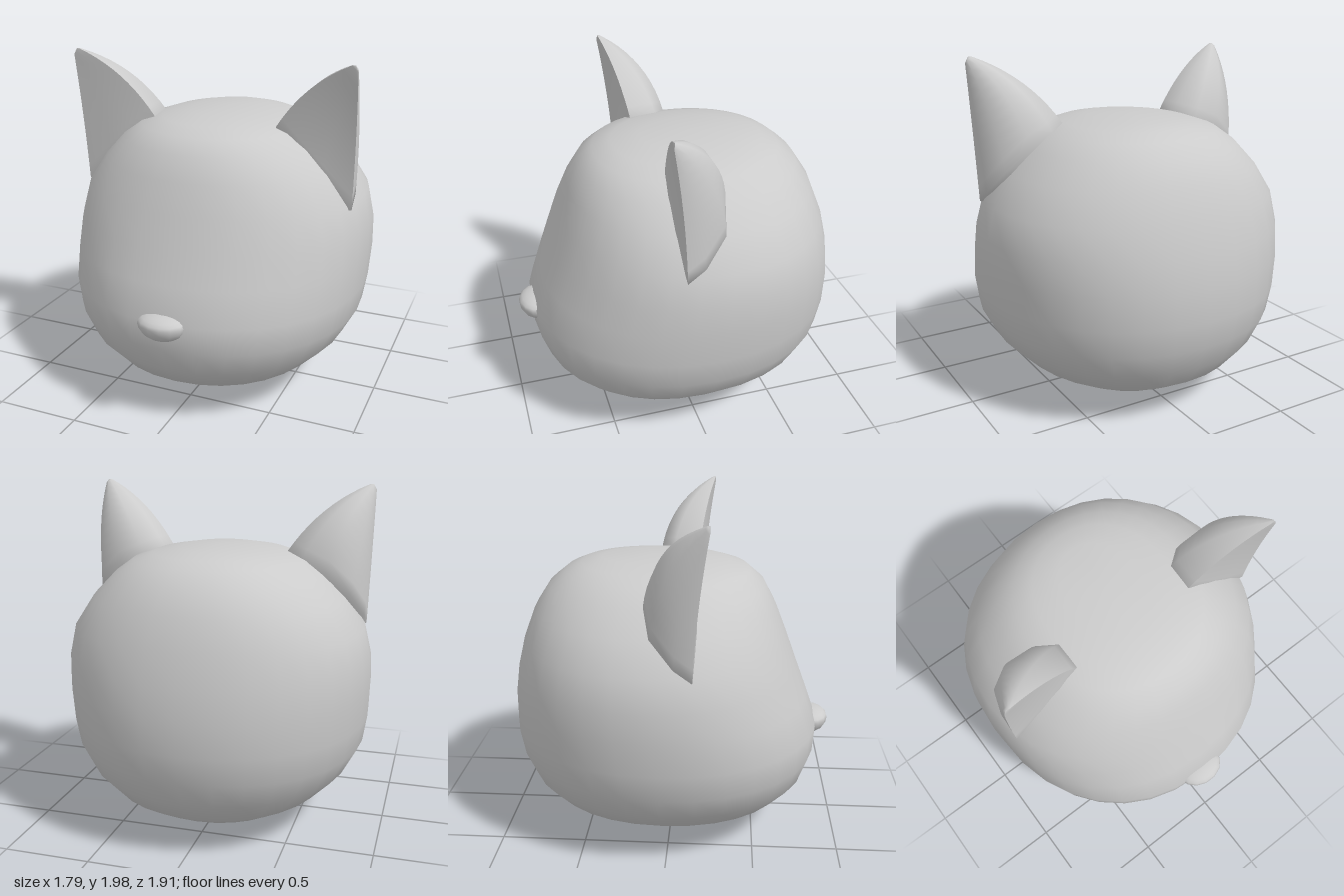
import * as THREE from 'three';
import { mergeVertices } from 'three/addons/utils/BufferGeometryUtils.js';

const V = (x, y, z) => new THREE.Vector3(x, y, z);
const material = new THREE.MeshStandardMaterial({ color: 0xcccccc, roughness: 0.8 });
const earMaterial = new THREE.MeshStandardMaterial({ color: 0xcccccc, roughness: 0.8, side: THREE.DoubleSide });

// Smooth skin over rings of points, listed from bottom to top
function loft(rings) {
  const n = rings[0].length;
  const index = [];
  for (let i = 0; i < rings.length - 1; i++) {
    for (let j = 0; j < n - 1; j++) {
      const a = i * n + j, b = a + 1, c = a + n, d = c + 1;
      index.push(a, b, c, b, d, c);
    }
  }
  let geo = new THREE.BufferGeometry().setFromPoints(rings.flat());
  geo.setIndex(index);
  geo = mergeVertices(geo, 1e-4);
  geo.computeVertexNormals();
  return geo;
}

function part(name, geo, mat = material) {
  const mesh = new THREE.Mesh(geo, mat);
  mesh.name = name;
  return mesh;
}

// Head levels: height, half width, front z, back z
const LEVELS = [
  [0.008, 0, -0.02, -0.02], [0.025, 0.2, 0.2, -0.21], [0.07, 0.37, 0.38, -0.44],
  [0.13, 0.5, 0.53, -0.61], [0.22, 0.65, 0.71, -0.76], [0.35, 0.78, 0.82, -0.865],
  [0.5, 0.86, 0.87, -0.925], [0.66, 0.885, 0.88, -0.953], [0.85, 0.895, 0.81, -0.95],
  [1.02, 0.89, 0.745, -0.925], [1.2, 0.85, 0.678, -0.88], [1.37, 0.735, 0.61, -0.815],
  [1.5, 0.61, 0.54, -0.73], [1.58, 0.5, 0.45, -0.63], [1.62, 0.38, 0.34, -0.54],
  [1.648, 0.22, 0.18, -0.42], [1.66, 0, -0.12, -0.12],
];

function headGeometry() {
  const segments = 32;
  const power = 2 / 2.15; // slightly squarish ovals
  const bend = (v) => Math.sign(v) * Math.abs(v) ** power;
  return loft(LEVELS.map(([y, w, front, back]) => {
    const mid = (front + back) / 2, depth = (front - back) / 2;
    return Array.from({ length: segments + 1 }, (_, j) => {
      const a = ((j % segments) / segments) * Math.PI * 2;
      return V(w * bend(Math.cos(a)), y, mid - depth * bend(Math.sin(a)));
    });
  }));
}

// Ear outline where it meets the head, each point with the bulge of its path to the tip
const EAR_BACK = [
  [V(0.835, 1.18, 0.15), V(0.005, 0, -0.025)],
  [V(0.83, 1.25, 0.05), V(0.01, 0.02, -0.05)],
  [V(0.76, 1.39, -0.08), V(0.01, 0.06, -0.1)],
  [V(0.62, 1.52, -0.12), V(-0.01, 0.09, -0.12)],
  [V(0.48, 1.58, -0.1), V(-0.03, 0.09, -0.1)],
  [V(0.38, 1.615, -0.02), V(-0.04, 0.085, -0.06)],
  [V(0.38, 1.61, 0.14), V(-0.045, 0.075, -0.01)],
];
const EAR_FRONT = [
  EAR_BACK[6],
  [V(0.5, 1.5, 0.16), V(-0.03, 0.05, -0.025)],
  [V(0.65, 1.36, 0.165), V(-0.01, 0.02, -0.035)],
  EAR_BACK[0],
];

function earSurface(outline, side) {
  const centre = V(0.64, 1.42, 0.03), tip = V(0.835, 1.975, 0.22), root = V(0.3, 1.1, 0);
  const steps = 10;
  const paths = outline.map(([base, bulge]) => {
    const end = base.clone().sub(centre).multiplyScalar(0.08).add(tip);
    const control = base.clone().lerp(end, 0.5).add(bulge);
    const curve = new THREE.QuadraticBezierCurve3(base, control, end);
    // sunk root, curved body, small rounded tip
    return [base.clone().lerp(root, 0.15), ...curve.getPoints(steps), tip.clone().add(V(0, 0.015, 0.004))];
  });
  const rings = paths[0].map((_, i) => {
    const ring = paths.map((p) => V(p[i].x * side, p[i].y, p[i].z));
    return side < 0 ? ring.reverse() : ring;
  });
  return loft(rings);
}

function ear(name, side) {
  const group = new THREE.Group();
  group.name = name;
  group.add(part('earBack', earSurface(EAR_BACK, side), earMaterial));
  group.add(part('earFront', earSurface(EAR_FRONT, side), earMaterial));
  return group;
}

// Nose: shallow cap above, deeper cap below, sharp seam between
function nose() {
  const group = new THREE.Group();
  group.name = 'nose';
  const half = (start, height) =>
    new THREE.SphereGeometry(1, 14, 5, 0, Math.PI * 2, start, Math.PI / 2).scale(0.145, height, 0.115);
  group.add(part('noseTop', half(0, 0.056)), part('noseBottom', half(Math.PI / 2, 0.1)));
  group.position.set(0, 0.652, 0.84);
  return group;
}

export function createModel() {
  const model = new THREE.Group();
  model.name = 'catHead';
  model.add(part('head', headGeometry()), ear('leftEar', 1), ear('rightEar', -1), nose());
  return model;
}
